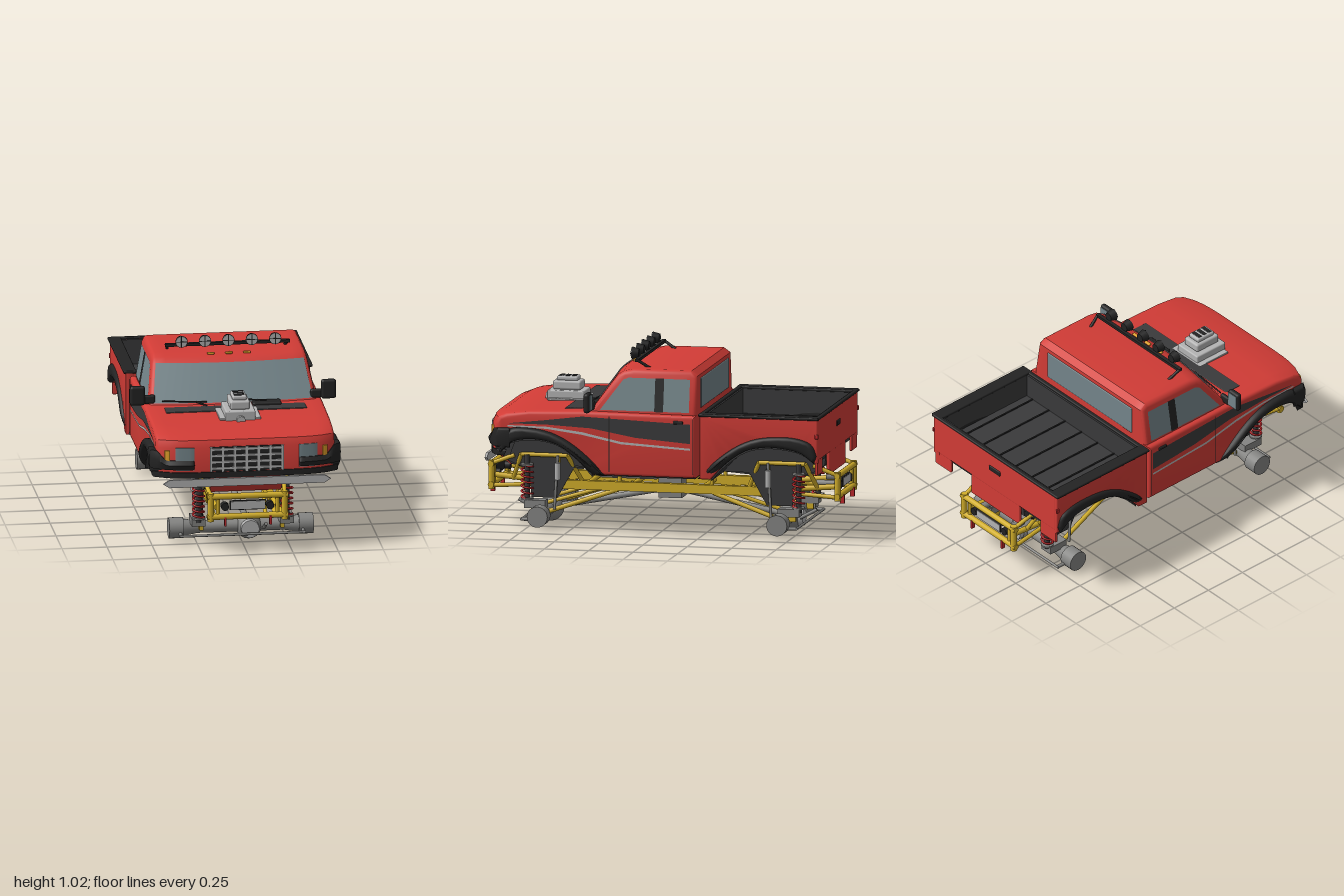
import * as THREE from 'three';
import { toCreasedNormals } from 'three/addons/utils/BufferGeometryUtils.js';
import { RoundedBoxGeometry } from 'three/addons/geometries/RoundedBoxGeometry.js';

const RED = 0xd23c36, YELLOW = 0xd2ae2a, BLACK = 0x232323, DARK = 0x3a3a3b, GLASS = 0x74858a,
  METAL = 0x858583, SILVER = 0xb4b4b4, ORANGE = 0xe0a02a, CRIMSON = 0xc0282c;
const V = (x, y, z) => new THREE.Vector3(x, y, z);
const SIDES = [-1, 1];

export function createModel() {
  const root = new THREE.Group();
  const mats = {};
  const mat = (c) => (mats[c] ??= new THREE.MeshStandardMaterial({ color: c, side: THREE.DoubleSide }));
  const add = (name, geo, color, x = 0, y = 0, z = 0) => {
    const m = new THREE.Mesh(geo, mat(color));
    m.name = name;
    m.position.set(x, y, z);
    root.add(m);
    return m;
  };
  const box = (name, color, w, h, d, x, y, z) => add(name, new THREE.BoxGeometry(w, h, d), color, x, y, z);
  const soft = (name, color, w, h, d, x, y, z, r = 0.012) => add(name, new RoundedBoxGeometry(w, h, d, 3, r), color, x, y, z);
  const rod = (name, color, a, b, r, r2 = r, seg = 14) => {
    const dir = b.clone().sub(a);
    const m = add(name, new THREE.CylinderGeometry(r2, r, dir.length(), seg), color);
    m.position.copy(a).addScaledVector(dir, 0.5);
    m.quaternion.setFromUnitVectors(V(0, 1, 0), dir.normalize());
  };
  const remap = (geo, fn) => {
    const p = geo.attributes.position;
    for (let i = 0; i < p.count; i++) p.setXYZ(i, ...fn(p.getX(i), p.getY(i), p.getZ(i)));
    geo.computeVertexNormals();
    return geo;
  };
  // rounds the front corners of the body in plan
  const nose = (x, y, z) => {
    const t = THREE.MathUtils.smoothstep(z, 0.7, 0.93);
    return [x, y, z - 0.06 * t * Math.min(1.3, (Math.abs(x) / 0.5) ** 6)];
  };
  // bumper corners grow taller towards the outside
  const corner = (x, y, z) => {
    const k = 1 - THREE.MathUtils.smoothstep(Math.abs(x), 0.44, 0.5);
    return nose(x, y - 0.5 * k * Math.max(0, y - 0.485), z);
  };
  // flares tuck in towards their lower ends
  const tuck = (x, y, z) => nose(x * (1 - 0.07 * Math.min(1, Math.max(0, (0.45 - y) / 0.11) ** 2)), y, z);
  // greenhouse: sides lean in, windscreen bows forward
  const halfCab = (y) => 0.466 - (y - 0.68) * 0.17;
  const green = (x, y, z) => [x * halfCab(y) / 0.466, y, z - (z > 0.1 ? 0.035 * (x / 0.466) ** 2 : 0)];

  // side profile of [z, y] points extruded across x
  const slab = (name, color, pts, width, { x = 0, bevel = 0.012, warp = nose, steps = 16 } = {}) => {
    const shape = new THREE.Shape(pts.map(([z, y]) => new THREE.Vector2(z, y)));
    const depth = width - 2 * bevel;
    const g = new THREE.ExtrudeGeometry(shape, {
      depth, steps, bevelEnabled: bevel > 0, bevelSize: bevel, bevelThickness: bevel, bevelOffset: -bevel, bevelSegments: 3,
    });
    g.translate(0, 0, -depth / 2).rotateY(-Math.PI / 2).translate(x, 0, 0);
    add(name, toCreasedNormals(remap(g, warp), 0.6), color);
  };
  // thin marking on a body side
  const decal = (name, color, pts, xAt, warp = nose) => SIDES.forEach((s) => {
    const g = new THREE.ShapeGeometry(new THREE.Shape(pts.map(([z, y]) => new THREE.Vector2(z, y))));
    add(name, remap(g, (z, y) => { const w = warp(0.49, y, z); return [s * xAt(y), y, w[2]]; }), color);
  });
  const smooth = (pts, n = 24) => new THREE.SplineCurve(pts.map((p) => new THREE.Vector2(...p))).getPoints(n).map((p) => [p.x, p.y]);
  const toRear = (pts) => pts.map(([z, y]) => [0.02 - z, y]);

  // wheel arch curves, front to back
  const archIn = smooth([[0.93, 0.45], [0.86, 0.5], [0.78, 0.522], [0.66, 0.53], [0.54, 0.505], [0.43, 0.43], [0.345, 0.34]]);
  const archOut = smooth([[0.945, 0.49], [0.92, 0.55], [0.86, 0.58], [0.76, 0.592], [0.62, 0.58], [0.5, 0.535], [0.38, 0.45], [0.265, 0.335]]);

  // cab and bonnet
  const W = 0.495;
  slab('cabBody', RED, [...archIn, [-0.235, 0.34], [-0.235, 0.685], [0.4, 0.692], [0.7, 0.682], [0.87, 0.665], [0.922, 0.645],
    [0.94, 0.605], [0.94, 0.46]], W * 2, { bevel: 0.018 });
  box('cabFloor', DARK, 0.93, 0.01, 0.56, 0, 0.337, 0.05);
  slab('greenhouse', RED, [[0.41, 0.67], [0.25, 0.89], [0.215, 0.913], [0.16, 0.925], [-0.2, 0.927], [-0.235, 0.9], [-0.235, 0.67]],
    0.932, { bevel: 0.024, warp: green });

  // windows
  const screen = new THREE.PlaneGeometry(1, 1, 16, 1);
  add('windscreen', remap(screen, (u, v) => {
    const t = v + 0.5, y = 0.698 + 0.19 * t;
    const [x, , z] = green(u * 0.89, y, 0.41 - (y - 0.67) * 0.727);
    return [x, y + 0.003, z + 0.005];
  }), GLASS);
  const cabX = (y) => halfCab(y) + 0.003;
  decal('sideWindow', GLASS, [[0.345, 0.7], [0.22, 0.868], [0.19, 0.88], [-0.195, 0.88], [-0.195, 0.7]], cabX, green);
  decal('windowPost', BLACK, [[0, 0.698], [0, 0.882], [-0.05, 0.882], [-0.05, 0.698]], (y) => cabX(y) + 0.002, green);
  soft('rearWindow', GLASS, 0.7, 0.165, 0.012, 0, 0.795, -0.234, 0.005);

  // side stripes, door lines and handles
  const sideX = () => W + 0.002;
  decal('stripe', DARK, [[0.86, 0.612], [0.62, 0.635], [0.4, 0.664], [-0.21, 0.64], [-0.21, 0.532], [0.1, 0.556], [0.35, 0.6], [0.6, 0.612]], sideX);
  decal('pinstripe', SILVER, [[0.86, 0.602], [0.6, 0.6], [0.4, 0.577], [0.18, 0.53], [-0.21, 0.506], [-0.21, 0.495], [0.18, 0.517],
    [0.4, 0.562], [0.6, 0.588], [0.86, 0.594]], sideX);
  for (const z of [0.25, -0.222]) decal('doorLine', BLACK, [[z, 0.36], [z, 0.67], [z - 0.004, 0.67], [z - 0.004, 0.36]], () => W + 0.003);
  for (const s of SIDES) soft('doorHandle', BLACK, 0.015, 0.018, 0.055, s * W, 0.648, -0.14, 0.005);

  // wheel arch flares and inner wells
  for (const turn of [(p) => p, toRear]) {
    const inner = turn(archIn);
    const core = turn([[0.75, 0.31], [0.86, 0.34], [0.925, 0.395], [0.932, 0.45]]);
    for (const s of SIDES) {
      slab('archFlare', BLACK, [...turn(archOut), ...[...inner].reverse()], 0.075, { x: s * 0.492, bevel: 0.02, steps: 2, warp: tuck });
      slab('wellPanel', DARK, [...inner.slice(6), ...turn([[0.5, 0.34], [0.6, 0.16], [0.745, 0.16], [0.76, 0.31], [0.88, 0.36]])],
        0.006, { x: s * 0.22, bevel: 0, steps: 1 });
    }
    slab('archLiner', DARK, [...inner.map(([z, y]) => [z, y + 0.006]), ...[...inner].reverse().map(([z, y]) => [z, y - 0.012])], 0.97, { bevel: 0 });
    slab('wellCore', DARK, [...inner, ...core], 0.43, { bevel: 0 });
  }

  // nose: grille, lamps, bumper
  box('grilleBack', BLACK, 0.41, 0.14, 0.012, 0, 0.54, 0.938);
  for (let i = 0; i < 7; i++) box('grilleBar', SILVER, 0.015, 0.14, 0.012, -0.198 + i * 0.066, 0.54, 0.946);
  for (let i = 0; i < 4; i++) box('grilleBar', SILVER, 0.41, 0.013, 0.012, 0, 0.488 + i * 0.036, 0.946);
  for (const s of SIDES) {
    slab('headlamp', GLASS, [[0.946, 0.48], [0.944, 0.608], [0.9, 0.608], [0.9, 0.48]], 0.105, { x: s * 0.342, bevel: 0.003, steps: 4 });
    slab('indicator', ORANGE, [[0.95, 0.535], [0.95, 0.592], [0.9, 0.592], [0.9, 0.535]], 0.028, { x: s * 0.438, bevel: 0.003, steps: 2 });
    slab('bumperCorner', BLACK, [[0.95, 0.588], [0.965, 0.54], [0.955, 0.485], [0.86, 0.48], [0.86, 0.588]], 0.24, { x: s * 0.41, warp: corner });
  }
  slab('lowerBumper', BLACK, [[0.948, 0.468], [0.948, 0.436], [0.9, 0.432], [0.88, 0.468]], 1.03, { bevel: 0.008 });
  slab('frontValance', RED, [[0.944, 0.44], [0.937, 0.39], [0.868, 0.332], [0.86, 0.35], [0.9, 0.44]], 0.4, { bevel: 0.003 });
  const barShape = new THREE.Shape([[-0.465, 0.41], [-0.43, 0.432], [0.43, 0.432], [0.465, 0.41], [0.43, 0.388], [-0.43, 0.388]].map((p) => new THREE.Vector2(...p)));
  add('bumperBar', new THREE.ExtrudeGeometry(barShape, { depth: 0.014, bevelEnabled: false }), SILVER, 0, 0, 0.942);

  // bonnet: cowl panel, blower, box, wipers
  soft('cowlPanel', DARK, 0.78, 0.012, 0.1, 0, 0.687, 0.47, 0.005);
  soft('blowerBase', SILVER, 0.165, 0.06, 0.21, 0, 0.705, 0.585, 0.008);
  soft('blowerFlange', SILVER, 0.23, 0.012, 0.21, 0, 0.688, 0.575, 0.004);
  soft('blowerMiddle', SILVER, 0.11, 0.05, 0.16, 0, 0.76, 0.585, 0.012);
  soft('blowerTop', SILVER, 0.08, 0.026, 0.12, 0, 0.796, 0.585, 0.01);
  for (const i of [-1, 0, 1]) box('blowerSlot', BLACK, 0.058, 0.004, 0.022, 0, 0.809, 0.585 + i * 0.035);
  rod('blowerPulley', SILVER, V(0, 0.685, 0.69), V(0, 0.685, 0.71), 0.025);
  soft('bonnetBox', BLACK, 0.16, 0.025, 0.07, 0.18, 0.695, 0.41, 0.01);
  for (const x of [-0.15, 0.18]) {
    rod('wiperBlade', BLACK, V(x, 0.71, 0.402), V(x - 0.245, 0.715, 0.375), 0.004);
    rod('wiperArm', BLACK, V(x, 0.69, 0.41), V(x - 0.06, 0.712, 0.398), 0.005);
  }

  // mirrors
  for (const s of SIDES) {
    soft('mirror', BLACK, 0.085, 0.11, 0.035, s * 0.53, 0.748, 0.36, 0.016);
    soft('mirrorArm', BLACK, 0.07, 0.05, 0.025, s * 0.465, 0.722, 0.35);
    box('mirrorGlass', GLASS, 0.066, 0.085, 0.004, s * 0.53, 0.748, 0.342);
  }

  // roof lights
  box('lightBar', BLACK, 0.69, 0.016, 0.022, 0, 0.962, 0.125);
  for (const s of SIDES) rod('lightBarStrut', BLACK, V(s * 0.34, 0.965, 0.125), V(s * 0.325, 0.92, 0.055), 0.008);
  for (let i = -2; i <= 2; i++) {
    const x = i * 0.13;
    rod('roofLamp', BLACK, V(x, 0.99, 0.13), V(x, 0.99, 0.168), 0.024, 0.034, 20);
    rod('roofLampGlass', SILVER, V(x, 0.99, 0.166), V(x, 0.99, 0.172), 0.031, 0.031, 20);
    box('lampCross', BLACK, 0.064, 0.004, 0.004, x, 0.99, 0.172);
    box('lampCross', BLACK, 0.004, 0.064, 0.004, x, 0.99, 0.172);
  }
  for (const i of [-1, 0, 1]) soft('roofMarker', ORANGE, 0.04, 0.012, 0.018, i * 0.1, 0.925, 0.19, 0.005);

  // load bed
  for (const s of SIDES) {
    slab('bedSide', RED, [...toRear(archIn), [-0.265, 0.34], [-0.265, 0.695], [-0.93, 0.695], [-0.93, 0.45]], 0.05, { x: s * 0.487, bevel: 0.008, steps: 1 });
    box('bedLiner', DARK, 0.01, 0.15, 0.64, s * 0.46, 0.62, -0.597);
    soft('bedRail', BLACK, 0.072, 0.016, 0.675, s * 0.489, 0.698, -0.597, 0.006);
    soft('tailLamp', CRIMSON, 0.012, 0.025, 0.02, s * 0.512, 0.6, -0.925, 0.004);
    soft('bedCorner', RED, 0.13, 0.1, 0.016, s * 0.435, 0.43, -0.92, 0.005);
  }
  box('bedFrontWall', RED, 0.96, 0.35, 0.02, 0, 0.515, -0.276);
  box('bedFrontLiner', DARK, 0.92, 0.15, 0.01, 0, 0.62, -0.291);
  soft('tailgate', RED, 1.0, 0.23, 0.024, 0, 0.58, -0.92, 0.008);
  box('tailgateLiner', DARK, 0.92, 0.15, 0.01, 0, 0.62, -0.905);
  soft('tailgateLower', RED, 0.4, 0.14, 0.02, 0, 0.41, -0.92, 0.006);
  soft('tailgateHandle', BLACK, 0.09, 0.03, 0.012, 0, 0.6, -0.932, 0.005);
  for (const z of [-0.274, -0.925]) soft('bedRail', BLACK, 1.04, 0.016, 0.025, 0, 0.698, z, 0.006);
  box('bedFloor', DARK, 0.93, 0.014, 0.64, 0, 0.548, -0.597);
  for (let i = -3; i <= 3; i++) box('floorRib', BLACK, 0.008, 0.008, 0.6, i * 0.135, 0.557, -0.597);

  // chassis rails and drivetrain
  for (const s of SIDES) {
    box('chassisRail', YELLOW, 0.035, 0.05, 1.3, s * 0.17, 0.23, 0);
    for (const e of SIDES) {
      rod('railEnd', YELLOW, V(s * 0.17, 0.24, e * 0.62), V(s * 0.17, 0.27, e * 0.96), 0.016);
      rod('bodyMount', YELLOW, V(s * 0.17, 0.25, e * 0.26), V(s * 0.17, 0.35, e * 0.26), 0.012);
    }
  }
  for (const z of [-0.45, -0.2, 0.2, 0.45]) rod('crossMember', YELLOW, V(-0.17, 0.23, z), V(0.17, 0.23, z), 0.014);
  box('transferCase', METAL, 0.125, 0.115, 0.13, 0, 0.213, 0);
  soft('gearbox', METAL, 0.2, 0.06, 0.33, 0, 0.29, 0.225);

  // front and rear running gear, e = 1 front, -1 rear
  for (const e of SIDES) {
    const az = e * 0.675;
    rod('axleTube', METAL, V(-0.33, 0.078, az), V(0.33, 0.078, az), 0.034, 0.034, 20);
    add('differential', new THREE.SphereGeometry(0.072, 24, 16), METAL, 0.045, 0.075, az);
    rod('diffCover', SILVER, V(0.045, 0.075, az), V(0.045, 0.075, az + e * 0.078), 0.055, 0.05, 20);
    rod('driveShaft', METAL, V(0.045, 0.09, az - e * 0.05), V(0, 0.195, e * 0.06), 0.016);
    rod('tieRod', METAL, V(-0.35, 0.055, az + e * 0.1), V(0.35, 0.055, az + e * 0.1), 0.007);
    rod('steeringDamper', METAL, V(0.12, 0.08, az + e * 0.07), V(0.12, 0.13, az + e * 0.165), 0.01);
    for (const s of SIDES) {
      rod('hub', METAL, V(s * 0.32, 0.077, az), V(s * 0.4, 0.077, az), 0.058, 0.058, 24);
      rod('hubNeck', METAL, V(s * 0.24, 0.078, az), V(s * 0.32, 0.078, az), 0.034, 0.048, 20);
      box('springSeat', METAL, 0.075, 0.045, 0.12, s * 0.245, 0.13, az + e * 0.04);
      rod('steeringArm', METAL, V(s * 0.34, 0.055, az), V(s * 0.34, 0.055, az + e * 0.1), 0.01);
      // links to the chassis
      rod('lowerLink', YELLOW, V(s * 0.22, 0.075, az), V(s * 0.17, 0.21, e * 0.27), 0.013);
      rod('upperLink', YELLOW, V(s * 0.14, 0.12, az), V(s * 0.17, 0.235, e * 0.3), 0.011);
      box('linkBracket', YELLOW, 0.022, 0.07, 0.04, s * 0.225, 0.11, az + e * 0.05);
      // shock hoop
      const hoop = [V(s * 0.17, 0.25, e * 0.86), V(s * 0.24, 0.4, e * 0.8), V(s * 0.24, 0.4, e * 0.54), V(s * 0.17, 0.25, e * 0.47)];
      for (let i = 0; i < 3; i++) rod('shockHoop', YELLOW, hoop[i], hoop[i + 1], 0.012);
      for (const z of [0.765, 0.59]) rod('hoopStay', YELLOW, V(s * 0.17, 0.24, e * z), V(s * 0.24, 0.4, e * z), 0.009);
      // coil-over
      const coil = Array.from({ length: 73 }, (_, i) => {
        const a = (i / 12) * Math.PI * 2;
        return V(s * 0.245 + 0.031 * Math.cos(a), 0.16 + (i / 72) * 0.18, e * 0.765 + 0.031 * Math.sin(a));
      });
      add('coilSpring', new THREE.TubeGeometry(new THREE.CatmullRomCurve3(coil), 144, 0.006, 6), CRIMSON);
      rod('coilDamper', DARK, V(s * 0.245, 0.13, e * 0.765), V(s * 0.245, 0.4, e * 0.765), 0.016);
      for (const y of [0.155, 0.345]) rod('springCap', METAL, V(s * 0.245, y - 0.005, e * 0.765), V(s * 0.245, y + 0.005, e * 0.765), 0.036);
      rod('shockBody', SILVER, V(s * 0.25, 0.265, e * 0.593), V(s * 0.25, 0.36, e * 0.593), 0.018);
      rod('shockShaft', METAL, V(s * 0.25, 0.1, e * 0.61), V(s * 0.25, 0.4, e * 0.592), 0.008);

      // guard frame at each end
      rod('guardPost', YELLOW, V(s * 0.205, 0.195, e * 0.975), V(s * 0.205, 0.355, e * 0.975), 0.018);
      rod('guardInnerPost', YELLOW, V(s * 0.165, 0.215, e * 0.97), V(s * 0.165, 0.335, e * 0.97), 0.011);
      rod('guardBrace', YELLOW, V(s * 0.205, 0.34, e * 0.97), V(s * 0.22, 0.39, e * 0.84), 0.012);
      rod('guardLowerBrace', YELLOW, V(s * 0.205, 0.215, e * 0.97), V(s * 0.17, 0.23, e * 0.64), 0.012);
      rod('guardLamp', BLACK, V(s * 0.125, 0.275, e * 0.94), V(s * 0.125, 0.275, e * 0.98), 0.022, 0.022, 18);
      if (e < 0) rod('exhaustPipe', METAL, V(s * 0.125, 0.278, -0.84), V(s * 0.125, 0.278, -0.95), 0.02);
      box('towHook', CRIMSON, 0.012, 0.05, 0.024, s * 0.125, 0.195, e * 0.985);
    }
    for (const y of [0.335, 0.22]) rod('guardRail', YELLOW, V(-0.225, y, e * 0.975), V(0.225, y, e * 0.975), 0.017);
    soft('blankPlate', BLACK, 0.2, 0.056, 0.01, 0, 0.283, e * 0.975, 0.004);
    box('plateFace', SILVER, 0.188, 0.044, 0.004, 0, 0.283, e * 0.981);
  }
  return root;
}
